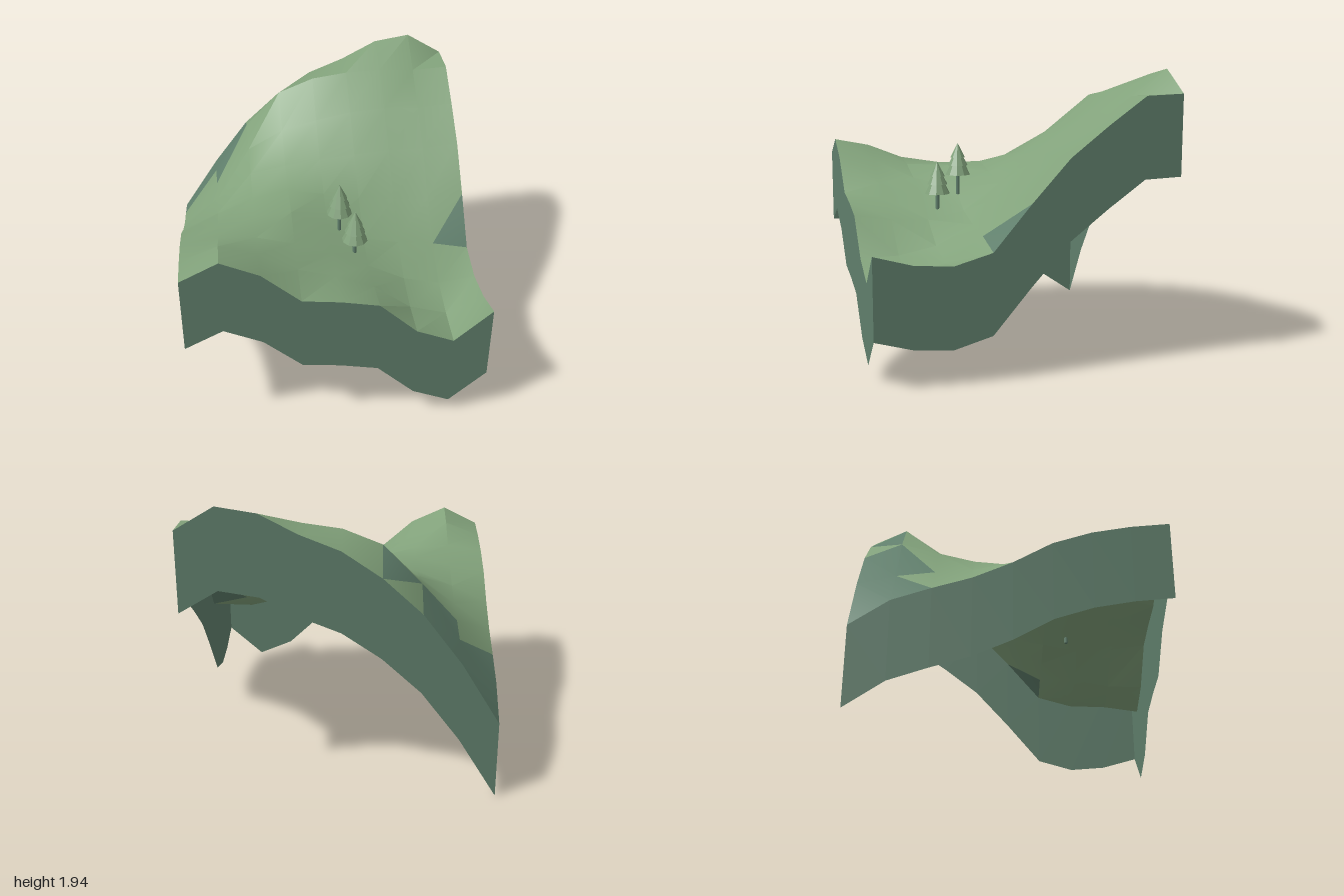
import * as THREE from 'three';
import { toCreasedNormals } from 'three/addons/utils/BufferGeometryUtils.js';

const N = 8, STEP = 0.25, DEPTH = 0.53;

// Ground heights: rows run back to front, columns run from -x to +x
const HEIGHTS = [
  [0.53, 0.94, 1.27, 1.50, 1.67, 1.77, 1.90, 1.94, 1.79],
  [0.70, 1.00, 1.38, 1.635, 1.735, 1.77, 1.78, 1.765, 1.78],
  [0.785, 1.03, 1.31, 1.45, 1.52, 1.57, 1.59, 1.58, 1.60],
  [0.86, 1.05, 1.25, 1.30, 1.335, 1.36, 1.38, 1.38, 1.405],
  [0.97, 1.09, 1.20, 1.245, 1.20, 1.15, 1.12, 1.11, 1.13],
  [1.11, 1.16, 1.215, 1.225, 1.10, 0.97, 0.92, 0.89, 0.835],
  [1.19, 1.235, 1.21, 1.14, 1.05, 0.92, 0.79, 0.73, 0.765],
  [1.235, 1.335, 1.25, 1.11, 1.04, 0.93, 0.74, 0.665, 0.785],
  [1.26, 1.385, 1.27, 1.05, 1.02, 0.97, 0.735, 0.63, 0.855],
];

// Triangles of bare earth, as column,row,half (0 = back half, 1 = front half)
const EARTH = new Set(['0,0,0', '0,0,1', '1,0,0', '1,0,1', '0,1,0', '1,1,0', '2,0,1', '7,4,1']);

const point = (i, j, drop = 0) => [-1 + i * STEP, HEIGHTS[j][i] - drop, -1 + j * STEP];

function bufferFrom(positions) {
  const geometry = new THREE.BufferGeometry();
  geometry.setAttribute('position', new THREE.Float32BufferAttribute(positions, 3));
  return geometry;
}

// Height field surface with grass and earth groups
function groundGeometry() {
  const grass = [], earth = [];
  for (let j = 0; j < N; j++) {
    for (let i = 0; i < N; i++) {
      const a = point(i, j), b = point(i, j + 1), c = point(i + 1, j + 1), d = point(i + 1, j);
      [[a, b, d], [b, c, d]].forEach((triangle, half) => {
        (EARTH.has(`${i},${j},${half}`) ? earth : grass).push(...triangle.flat());
      });
    }
  }
  const geometry = toCreasedNormals(bufferFrom([...grass, ...earth]), 0.45);
  geometry.addGroup(0, grass.length / 3, 0);
  geometry.addGroup(grass.length / 3, earth.length / 3, 1);
  return geometry;
}

// One side wall, following the ground edge at a constant depth
function wallGeometry(cellAt) {
  const positions = [];
  for (let k = 0; k < N; k++) {
    const p = cellAt(k), q = cellAt(k + 1);
    const a = point(...p), b = point(...p, DEPTH), c = point(...q, DEPTH), d = point(...q);
    positions.push(...[a, b, c, a, c, d].flat());
  }
  const geometry = bufferFrom(positions);
  geometry.computeVertexNormals();
  return geometry;
}

export function createModel() {
  const grass = new THREE.MeshStandardMaterial({ color: 0x82a27b, side: THREE.DoubleSide });
  grass.name = 'grass green';
  const earth = new THREE.MeshStandardMaterial({ color: 0x607f6c, side: THREE.DoubleSide });
  earth.name = 'earth green';
  const foliage = new THREE.MeshStandardMaterial({ color: 0x7f9f79, flatShading: true });
  foliage.name = 'foliage green';

  const model = new THREE.Group();
  model.name = 'hillside';
  const add = (parent, name, geometry, material) => {
    const mesh = new THREE.Mesh(geometry, material);
    mesh.name = name;
    parent.add(mesh);
    return mesh;
  };

  add(model, 'ground', groundGeometry(), [grass, earth]);

  // Open-bottomed skirt, wound to face outward
  const walls = {
    frontWall: k => [k, N],
    leftWall: k => [N, N - k],
    backWall: k => [N - k, 0],
    rightWall: k => [0, k],
  };
  for (const [name, cellAt] of Object.entries(walls)) add(model, name, wallGeometry(cellAt), earth);

  // Trees: a thin trunk under three stacked tiers [bottom radius, top radius, bottom, height]
  const tiers = [
    [0.087, 0.035, 0.14, 0.105],
    [0.07, 0.025, 0.205, 0.085],
    [0.052, 0, 0.26, 0.10],
  ];
  for (const [x, y, z] of [[0.08, 1.06, 0.25], [0.165, 0.945, 0.415]]) {
    const tree = new THREE.Group();
    tree.name = 'tree';
    tree.position.set(x, y, z);
    add(tree, 'trunk', new THREE.CylinderGeometry(0.013, 0.013, 0.16, 8), earth).position.y = 0.08;
    for (const [bottom, top, base, height] of tiers) {
      add(tree, 'foliageTier', new THREE.CylinderGeometry(top, bottom, height, 10), foliage)
        .position.y = base + height / 2;
    }
    model.add(tree);
  }
  return model;
}
